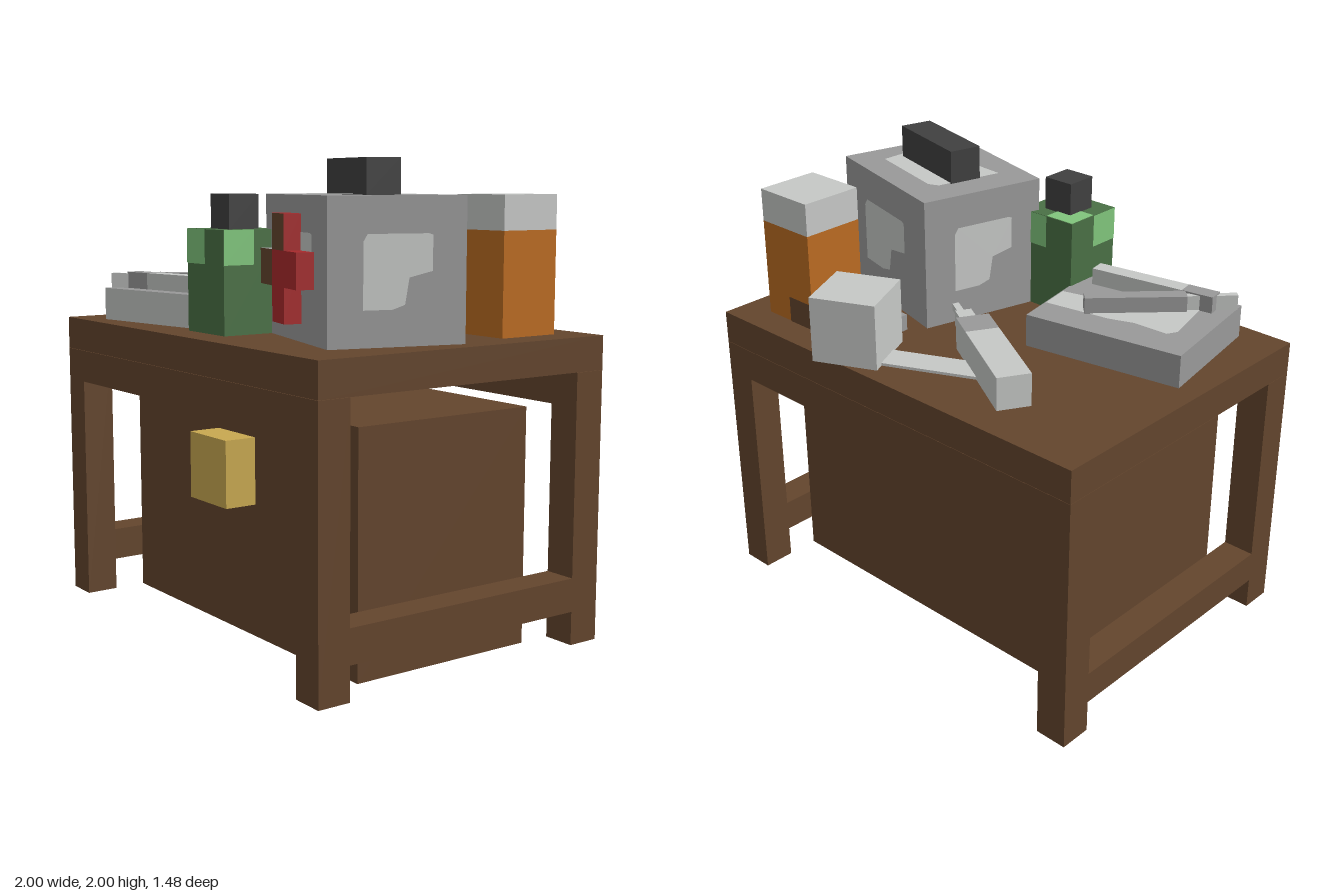
import * as THREE from 'three';

const mat = (name, color) => {
  const m = new THREE.MeshStandardMaterial({ color });
  m.name = name;
  return m;
};

export function createModel() {
  const wood = mat('wood', 0x63452d), green = mat('green', 0x4a7045), lime = mat('lightGreen', 0x80c57c);
  const dark = mat('charcoal', 0x404040), grey = mat('grey', 0x999999), light = mat('lightGrey', 0xc6c8c6);
  const gold = mat('gold', 0xc8a850), orange = mat('orange', 0xba6b22), red = mat('red', 0xa82a2c);
  const U = 1 / 7; // basic block size
  const TOP = 1.287; // table top height
  const model = new THREE.Group();

  // box given by its size and the centre of its base
  const box = (parent, name, material, [w, h, d], [x, y, z]) => {
    const mesh = new THREE.Mesh(new THREE.BoxGeometry(w, h, d), material);
    mesh.name = name;
    mesh.position.set(x, y + h / 2, z);
    parent.add(mesh);
    return mesh;
  };
  const group = (name, x, y, z, degrees = 0) => {
    const g = new THREE.Group();
    g.name = name;
    g.position.set(x, y, z);
    g.rotation.y = THREE.MathUtils.degToRad(degrees);
    model.add(g);
    return g;
  };
  // flat painted patch facing +z before it is turned
  const patch = (parent, name, material, points, pos, rot = [0, 0, 0]) => {
    const shape = new THREE.Shape(points.map(([x, y]) => new THREE.Vector2(x, y)));
    const mesh = new THREE.Mesh(new THREE.ShapeGeometry(shape), material);
    mesh.name = name;
    mesh.position.set(...pos);
    mesh.rotation.set(...rot);
    parent.add(mesh);
  };
  const rect = (x0, y0, x1, y1) => [[x0, y0], [x1, y0], [x1, y1], [x0, y1]];
  const H = Math.PI / 2, E = 0.003;

  // table: top, legs, side rails, front and back aprons
  const table = group('table', 0, 0, 0.025);
  box(table, 'tableTop', wood, [2, U, 10 * U], [0, TOP - U, 0]);
  for (const s of [-1, 1]) {
    for (const t of [-1, 1]) box(table, 'leg', wood, [U, 8 * U, U], [s * 6.5 * U, 0, t * 4.5 * U]);
    box(table, 'sideRail', wood, [U, U, 8 * U], [s * 6.5 * U, U, 0]);
    box(table, 'apron', wood, [12 * U, U, U], [0, 7 * U, s * 4.5 * U]);
  }

  // chest beneath the table
  box(table, 'chest', wood, [12 * U, 7 * U, 6 * U], [0, 0, 0]);
  box(table, 'latch', gold, [2 * U, 2 * U, U], [0, 4 * U, 3.5 * U]);

  // medical case with handle, cross and worn patches
  const kit = group('medicalCase', 0.497, TOP, 0.165, -15);
  const W = 5 * U, D = 4 * U;
  box(kit, 'caseBody', grey, [W, D, D], [0, 0, 0]);
  box(kit, 'caseHandle', dark, [3 * U, U, U], [0, D, 0]);
  const worn = (w) => [[-0.25, -0.25], [-0.04, -0.25], [0.05, -0.22], [0.08, -0.04], [0.25, 0], [0.25, 0.24],
    [0.22, 0.25], [-0.22, 0.25], [-0.25, 0.2]].map(([x, y]) => [x * w, y * D]);
  patch(kit, 'frontWear', light, worn(W * 1.1), [0, D / 2, D / 2 + E]);
  patch(kit, 'backWear', light, worn(W), [0, D / 2, -D / 2 - E], [0, Math.PI, 0]);
  patch(kit, 'rightWear', light, worn(D), [W / 2 + E, D / 2, 0], [0, H, 0]);
  patch(kit, 'leftWear', light, worn(D), [-W / 2 - E, D / 2, 0], [0, -H, 0]);
  patch(kit, 'topWear', light, [[-0.21, -0.17], [-0.1, -0.15], [0.19, -0.15], [0.22, -0.13], [0.2, 0], [0.25, 0.03],
    [0.22, 0.16], [-0.17, 0.16], [-0.21, 0.13]], [0, D + E, 0], [-H, 0, 0]);
  const front = D / 2 + U / 4;
  box(kit, 'crossCentre', red, [U, 2 * U, U / 2], [0, U / 2, front]);
  box(kit, 'crossRightArm', red, [U, U, U / 2], [U, 1.5 * U, front]);
  box(kit, 'crossTopArm', [red, red, red, red, wood, red], [U, U, U / 2], [0, 2.5 * U, front]);
  box(kit, 'crossLeftArm', [grey, grey, grey, grey, wood, grey], [U, U, U / 2], [-U, 1.5 * U, front]);

  // green bottle with light patches
  const bottle = group('greenBottle', 0, TOP, 0.454);
  box(bottle, 'bottleBody', green, [2 * U, 3 * U, 2 * U], [0, 0, 0]);
  box(bottle, 'bottleCap', dark, [U, U, U], [0, 3 * U, 0]);
  const leftHalf = rect(-U, 0, 0, U), rightHalf = rect(0, 0, U, U);
  patch(bottle, 'frontShine', lime, leftHalf, [0, 2 * U, U + E]);
  patch(bottle, 'backShine', lime, leftHalf, [0, 2 * U, -U - E], [0, Math.PI, 0]);
  patch(bottle, 'rightShine', lime, leftHalf, [U + E, 2 * U, 0], [0, H, 0]);
  patch(bottle, 'leftShine', lime, rightHalf, [-U - E, 2 * U, 0], [0, -H, 0]);
  patch(bottle, 'topShine', lime, leftHalf, [0, 3 * U + E, 0], [-H, 0, 0]);

  // orange pill jar
  const jar = group('pillJar', 0.715, TOP, -0.407);
  box(jar, 'jarBody', orange, [2 * U, 3 * U, 2 * U], [0, 0, 0]);
  box(jar, 'jarLid', light, [2 * U, U, 2 * U], [0, 3 * U, 0]);
  patch(jar, 'jarMark', wood, rect(0, 0, U, 0.115), [0, 0, -U - E], [0, Math.PI, 0]);

  // small loose blocks
  box(model, 'goldBlock', gold, [U / 2, U / 2, U / 2], [0.53, TOP, -0.16]);
  box(model, 'greyBlock', grey, [U / 2, U / 2, U / 2], [0.317, TOP, -0.305]);

  // bandage roll with its loose strip
  const bandage = group('bandage', 0.28, TOP, -0.555, 25);
  box(bandage, 'bandageRoll', light, [2 * U, 2 * U, 2 * U], [0, 0, 0]);
  box(bandage, 'bandageStrip', light, [0.44, 0.012, 0.13], [-0.355, 0, -0.03]);

  // syringe lying on the table
  const syringe = group('syringe', -0.287, TOP, -0.34, -30);
  box(syringe, 'syringeBody', light, [3 * U, U, U], [-U / 2, 0, 0]);
  box(syringe, 'syringeCollar', [light, light, grey, light, light, light], [U, U, U], [1.5 * U, 0, 0]);
  box(syringe, 'syringeTip', [grey, grey, light, light, light, light], [U, U / 2, U / 2], [2.5 * U, U / 4, 0]);
  box(syringe, 'needle', light, [U, 0.03, 0.03], [3.5 * U, 0.056, 0]);

  // instrument tray
  const tray = group('tray', -0.5, TOP, 0.305, 10);
  box(tray, 'trayBody', [grey, grey, grey, grey, light, grey], [W, U, D], [0, 0, 0]);
  patch(tray, 'trayWear', light, [[-0.23, -0.16], [-0.25, 0.1], [-0.22, 0.14], [-0.06, 0.12], [0.05, 0.14], [0.35, 0.14],
    [0.35, 0], [0.1, -0.02], [0.02, -0.07], [-0.05, -0.1], [-0.19, -0.17]].reverse(), [0, U + E, 0], [-H, 0, 0]);

  // instruments on the tray
  const scalpel = group('scalpel', -0.5, TOP + U, 0.305, 45);
  box(scalpel, 'scalpelHandle', grey, [3 * U, U / 2, 0.064], [0, 0, 0]);
  box(scalpel, 'scalpelBlade', light, [0.22, 0.066, 0.03], [-0.32, 0, 0]);
  const probe = group('probe', -0.47, TOP + U, 0.48, 10);
  box(probe, 'probeShaft', light, [3 * U, 0.073, U / 2], [U / 2, 0, 0]);
  box(probe, 'probeGrip', grey, [U, 0.073, U / 2], [-1.5 * U, 0, 0]);

  return model;
}
